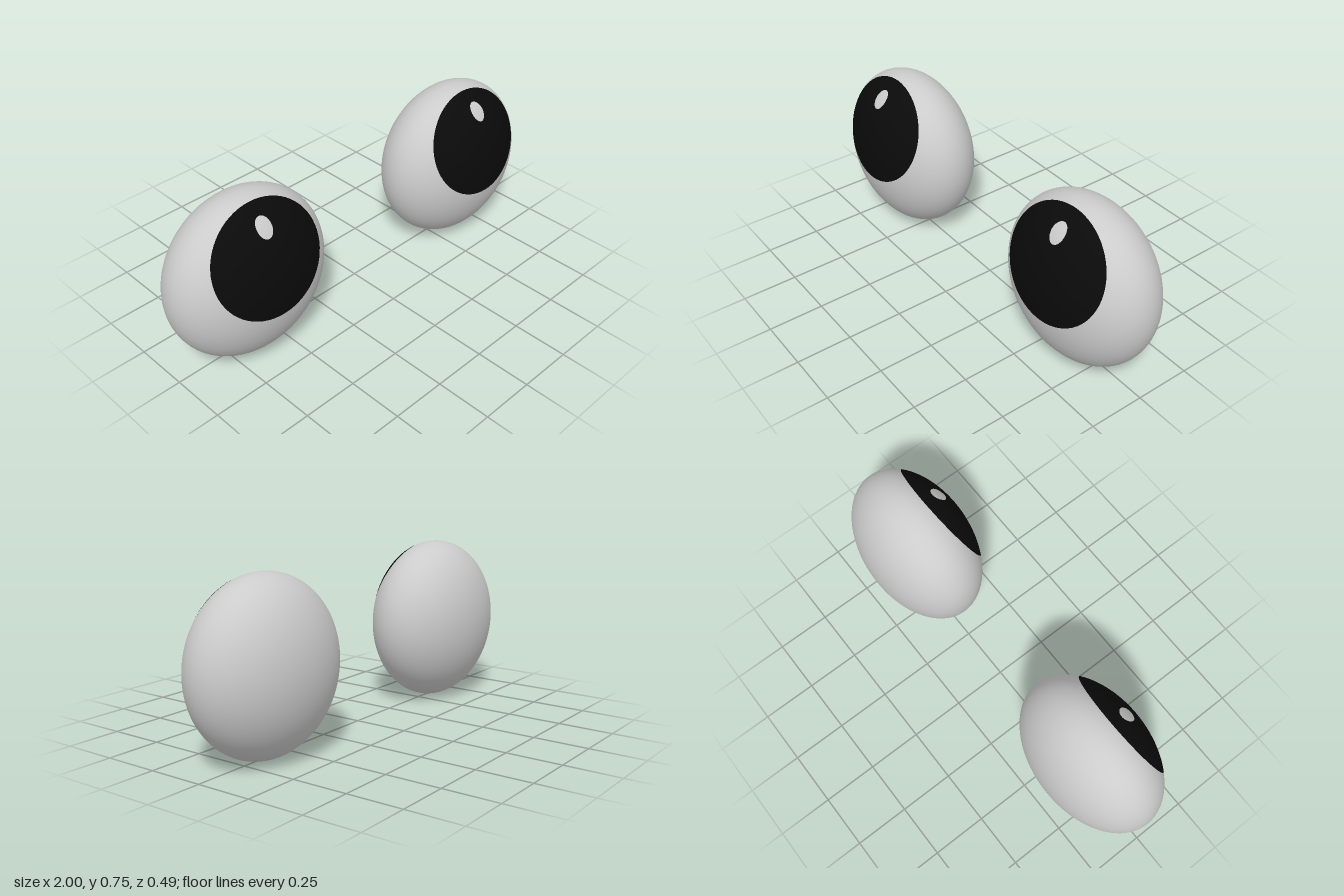
import * as THREE from 'three';

const RADII = [0.376, 0.3775, 0.246];
const rad = THREE.MathUtils.degToRad;

// Spherical cap aimed forward at an elevation, then flattened to follow the eyeball
function capGeometry({ halfAngle, elevation, turn = 0, squeeze = 1, lift }) {
  const geo = new THREE.SphereGeometry(1, 64, 20, 0, Math.PI * 2, 0, rad(halfAngle));
  const pos = geo.attributes.position;
  const v = new THREE.Vector3();
  for (let i = 0; i < pos.count; i++) {
    v.fromBufferAttribute(pos, i);
    v.x *= squeeze;
    v.normalize();
    pos.setXYZ(i, v.x, v.y, v.z);
    geo.attributes.normal.setXYZ(i, v.x, v.y, v.z);
  }
  geo.rotateX(rad(90 - elevation));
  geo.rotateY(turn);
  geo.scale(...RADII.map((r) => r * lift));
  return geo;
}

function createEye(side, name) {
  const eye = new THREE.Group();
  eye.name = name;
  const add = (part, geometry, color) => {
    const material = new THREE.MeshStandardMaterial({ color });
    const mesh = new THREE.Mesh(geometry, material);
    mesh.name = part;
    eye.add(mesh);
  };

  // Flattened eyeball
  const ball = new THREE.SphereGeometry(1, 72, 48);
  ball.scale(...RADII);
  add('eyeball', ball, 0xcccccc);

  // Large pupil looking upward
  add('pupil', capGeometry({ halfAngle: 44.5, elevation: 31.5, lift: 1.003 }), 0x0a0a0a);

  // Small oval glint near the top of the pupil
  add('highlight', capGeometry({
    halfAngle: 9.2, elevation: 52, turn: side * 0.03, squeeze: 0.58, lift: 1.006,
  }), 0xcccccc);

  eye.position.set(side * 0.624, RADII[1], 0);
  return eye;
}

export function createModel() {
  const model = new THREE.Group();
  model.name = 'eyes';
  model.add(createEye(1, 'leftEye'), createEye(-1, 'rightEye'));
  return model;
}
